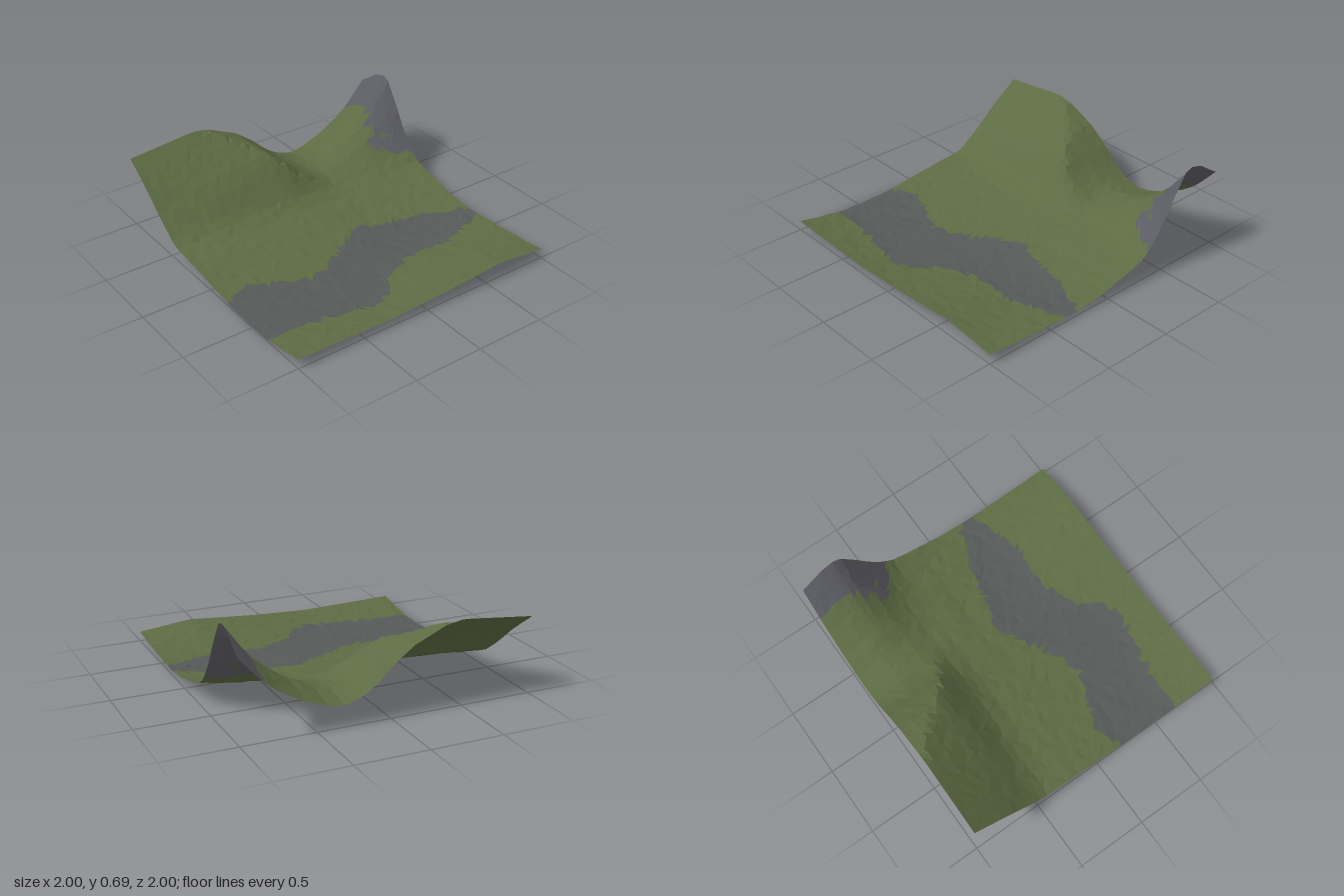
import * as THREE from 'three';

// Piecewise-linear lookup through [position, value] knots in rising order
function lookup(knots, t) {
  if (t <= knots[0][0]) return knots[0][1];
  for (let i = 1; i < knots.length; i++) {
    const [a, u] = knots[i - 1], [b, v] = knots[i];
    if (t <= b) return u + (v - u) * (t - a) / (b - a);
  }
  return knots[knots.length - 1][1];
}
const { lerp, clamp, smoothstep } = THREE.MathUtils;
const hash = (i, j) => {
  const s = Math.sin(i * 127.1 + j * 311.7) * 43758.5453;
  return (s - Math.floor(s)) * 2 - 1;
};

// Skyline height along x
const crest = [[-1, 0.525], [-0.5, 0.577], [-0.38, 0.557], [-0.15, 0.455], [0, 0.34],
  [0.2, 0.24], [0.33, 0.185], [0.43, 0.205], [0.6, 0.285], [0.75, 0.39], [0.85, 0.485], [1, 0.69]];
// Height profiles along z: left border, left spur, saddle and right border
const leftEdge = [[-1, 0.525], [-0.8, 0.375], [-0.65, 0.25], [-0.5, 0.135], [-0.42, 0.095],
  [-0.2, 0.07], [0, 0.045], [0.25, 0.015], [0.45, 0.005]];
const spur = [[-1, 0.62], [-0.8, 0.49], [-0.68, 0.42], [-0.6, 0.35], [-0.5, 0.24], [-0.42, 0.16],
  [-0.32, 0.1], [-0.2, 0.075], [0, 0.035], [0.25, 0.008], [0.45, 0]];
const saddle = [[-1, 0.142], [-0.78, 0.186], [-0.58, 0.162], [-0.42, 0.11], [-0.3, 0.085],
  [-0.2, 0.07], [-0.1, 0.04], [0, 0.03], [0.15, 0.008], [0.3, 0]];
const rightEdge = [[-1, 0.555], [-0.85, 0.652], [-0.75, 0.69], [-0.69, 0.67], [-0.6, 0.53],
  [-0.5, 0.36], [-0.4, 0.22], [-0.3, 0.145], [-0.2, 0.115], [0, 0.065], [0.15, 0.04], [0.3, 0.025]];
// Riverbed banks and the height of the front border along x
const bankBack = [[-1, 0.2], [-0.8, 0.12], [-0.6, 0.22], [-0.4, 0.3], [-0.2, 0.23], [0, 0.1],
  [0.2, 0.01], [0.4, 0.06], [0.6, 0.1], [0.8, 0.17], [1, 0.28]];
const bankFront = [[-1, 0.68], [-0.6, 0.71], [-0.4, 0.76], [-0.2, 0.78], [-0.05, 0.68], [0.1, 0.53],
  [0.3, 0.47], [0.6, 0.49], [0.8, 0.43], [1, 0.36]];
const frontEdge = [[-1, 0.07], [-0.3, 0.052], [0.1, 0.07], [0.4, 0.092], [0.62, 0.11], [1, 0.068]];

function height(x, z) {
  const top = lookup(crest, x), low = lookup(saddle, z);
  let h;
  if (x < 0.33) {
    const face = lerp(lookup(leftEdge, z), lookup(spur, z), clamp((x + 1) / 0.9, 0, 1));
    h = lerp(Math.min(top, face), low, clamp(x / 0.33, 0, 1));
  } else {
    h = lerp(low, lookup(rightEdge, z), (top - 0.185) / 0.505);
  }
  // Front bank rises gently from the river
  const start = lookup(bankFront, x) - 0.12;
  const rise = clamp((z - start) / (1 - start), 0, 1);
  return lerp(h, lookup(frontEdge, x), rise * (0.5 + 0.5 * rise));
}

export function createModel() {
  const group = new THREE.Group();
  group.name = 'terrain';

  // Jittered grid of ground points
  const n = 38, points = [];
  for (let j = 0; j <= n; j++) {
    for (let i = 0; i <= n; i++) {
      const inX = i > 0 && i < n ? 0.012 : 0, inZ = j > 0 && j < n ? 0.012 : 0;
      const x = -1 + 2 * i / n + inX * hash(i, j);
      const z = -1 + 2 * j / n + inZ * hash(i + 50, j);
      const bump = 0.004 * hash(i, j + 90) * smoothstep(1 - Math.abs(z), 0, 0.1);
      points.push(new THREE.Vector3(x, Math.max(0, height(x, z) + bump), z));
    }
  }

  // Sort each triangle into grass, riverbed or rock
  const faces = { grass: [], riverbed: [], rockFace: [] };
  const tri = new THREE.Triangle(), mid = new THREE.Vector3(), normal = new THREE.Vector3();
  const addFace = (...ids) => {
    tri.set(...ids.map((k) => points[k]));
    tri.getMidpoint(mid);
    tri.getNormal(normal);
    let part = 'grass';
    if (mid.z > lookup(bankBack, mid.x) && mid.z < lookup(bankFront, mid.x)) part = 'riverbed';
    else if (mid.x > 0.68 && normal.y < 0.68 && mid.y > 0.2) part = 'rockFace';
    for (const p of [tri.a, tri.b, tri.c]) faces[part].push(p.x, p.y, p.z);
  };
  for (let j = 0; j < n; j++) {
    for (let i = 0; i < n; i++) {
      const a = j * (n + 1) + i, b = a + 1, c = a + n + 1, d = c + 1;
      if (hash(i + 7, j + 13) > 0) {
        addFace(a, c, b);
        addFace(b, c, d);
      } else {
        addFace(a, c, d);
        addFace(a, d, b);
      }
    }
  }

  // One faceted sheet per ground cover
  const colors = { grass: 0x5d6b43, riverbed: 0x555a58, rockFace: 0x5c5c64 };
  for (const [name, data] of Object.entries(faces)) {
    const geometry = new THREE.BufferGeometry();
    geometry.setAttribute('position', new THREE.Float32BufferAttribute(data, 3));
    geometry.computeVertexNormals();
    const mesh = new THREE.Mesh(geometry, new THREE.MeshStandardMaterial({
      color: colors[name], flatShading: true, side: THREE.DoubleSide,
    }));
    mesh.name = name;
    group.add(mesh);
  }
  return group;
}
